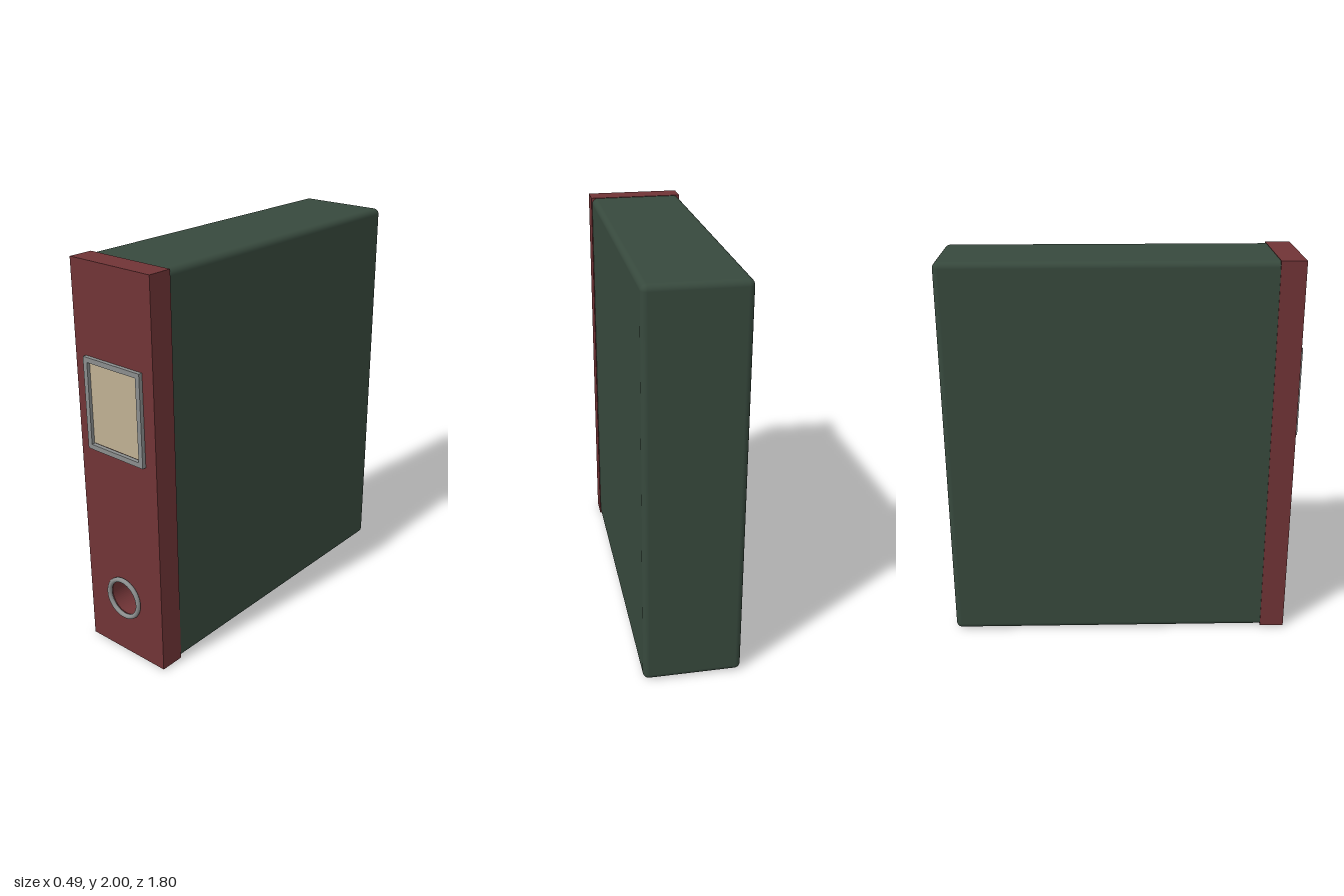
import * as THREE from 'three';
import { RoundedBoxGeometry } from 'three/addons/geometries/RoundedBoxGeometry.js';

const material = (name, color, side = THREE.FrontSide) => {
  const m = new THREE.MeshStandardMaterial({ color, side });
  m.name = name;
  return m;
};

// Rectangle outline centred on (x, y)
function rectangle(width, height, x, y, Type = THREE.Shape) {
  const w = width / 2, h = height / 2;
  return new Type([
    new THREE.Vector2(x - w, y - h), new THREE.Vector2(x + w, y - h),
    new THREE.Vector2(x + w, y + h), new THREE.Vector2(x - w, y + h),
  ]);
}

function extrude(shape, depth, z) {
  return new THREE.ExtrudeGeometry(shape, { depth, bevelEnabled: false, curveSegments: 32 }).translate(0, 0, z);
}

// Rounded box without its flat bottom and flat front, leaving a rolled rim
function openShell(width, height, depth, radius) {
  const box = new RoundedBoxGeometry(width, height, depth, 4, radius);
  const p = box.attributes.position, n = box.attributes.normal;
  box.computeBoundingBox();
  const minY = box.boundingBox.min.y + 1e-4, maxZ = box.boundingBox.max.z - 1e-4;
  const positions = [], normals = [];
  for (let i = 0; i < p.count; i += 3) {
    const corners = [i, i + 1, i + 2];
    if (corners.every((k) => p.getY(k) < minY) || corners.every((k) => p.getZ(k) > maxZ)) continue;
    for (const k of corners) {
      positions.push(p.getX(k), p.getY(k), p.getZ(k));
      normals.push(n.getX(k), n.getY(k), n.getZ(k));
    }
  }
  const g = new THREE.BufferGeometry();
  g.setAttribute('position', new THREE.Float32BufferAttribute(positions, 3));
  g.setAttribute('normal', new THREE.Float32BufferAttribute(normals, 3));
  return g;
}

export function createModel() {
  const green = material('green board', 0x37493d, THREE.DoubleSide);
  const red = material('red spine', 0x703436);
  const metal = material('grey metal', 0x8a8d8d);
  const cream = material('cream paper', 0xbfb093);

  const group = new THREE.Group();
  group.name = 'boxFile';
  const add = (name, geometry, mat) => {
    const mesh = new THREE.Mesh(geometry, mat);
    mesh.name = name;
    group.add(mesh);
    return mesh;
  };

  // Hollow case, open underneath
  add('caseShell', openShell(0.486, 1.995, 1.75, 0.03).translate(0, 1, -0.025), green);

  // Spine block with a finger hole
  const spine = rectangle(0.494, 1.997, 0, 1.0015);
  spine.holes.push(new THREE.Path().absarc(0, 0.32, 0.092, 0, Math.PI * 2, true));
  add('spine', extrude(spine, 0.125, 0.75), red);

  // Board inset under the spine
  add('spineBase', new THREE.BoxGeometry(0.44, 0.004, 0.08).translate(0, 0.002, 0.81), green);

  // Label and its holder
  const frame = rectangle(0.36, 0.46, 0, 1.32);
  frame.holes.push(rectangle(0.31, 0.41, 0, 1.32, THREE.Path));
  add('labelFrame', extrude(frame, 0.02, 0.875), metal);
  add('label', new THREE.BoxGeometry(0.304, 0.4, 0.006).translate(0, 1.32, 0.878), cream);

  // Ring around the finger hole
  const ring = add('fingerRing', new THREE.TorusGeometry(0.1, 0.012, 12, 48), metal);
  ring.position.set(0, 0.32, 0.888);

  return group;
}
